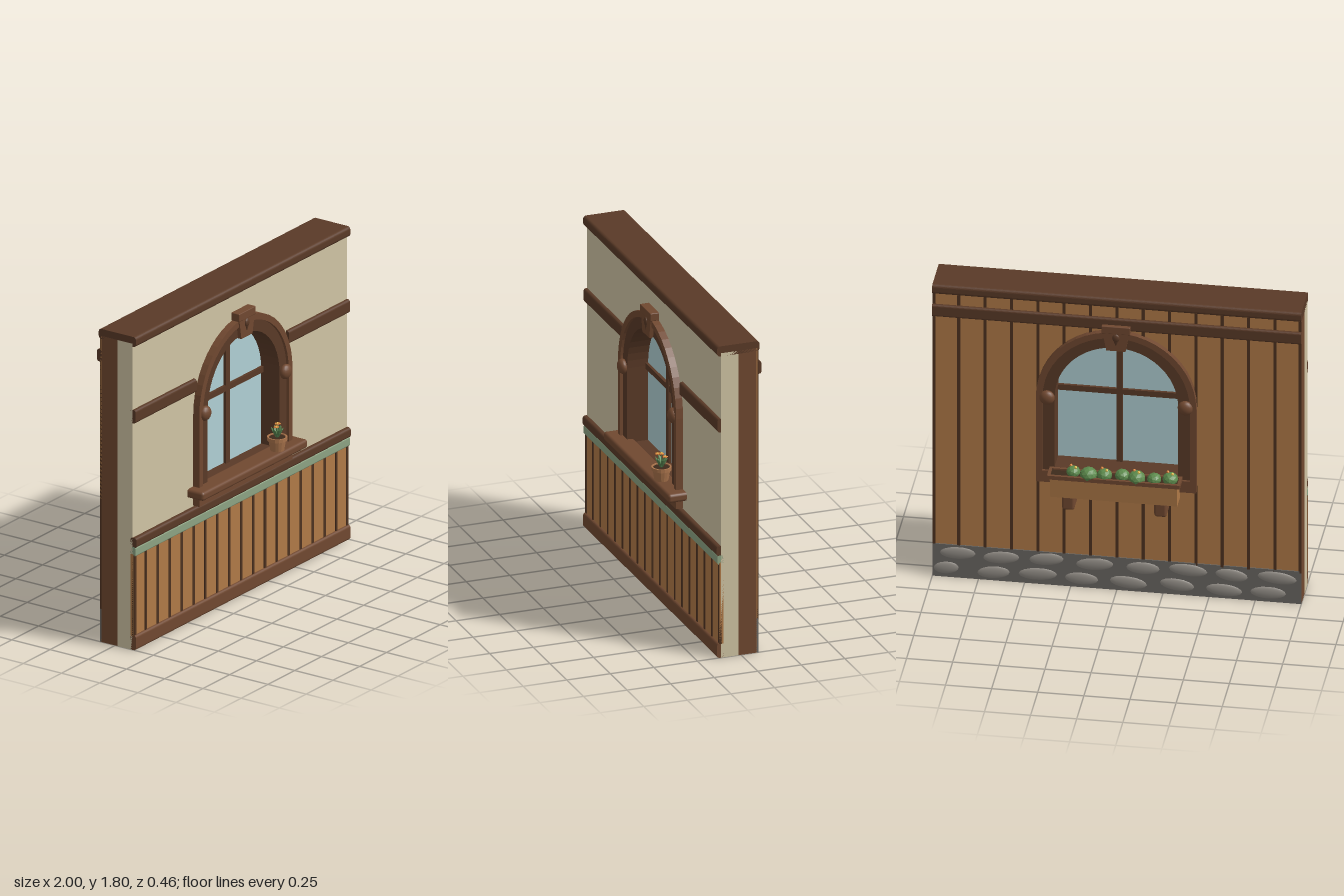
import * as THREE from 'three';
import { RoundedBoxGeometry } from 'three/addons/geometries/RoundedBoxGeometry.js';

const mat = (color, flatShading = false) => new THREE.MeshStandardMaterial({ color, flatShading });
const M = {
  plaster: mat(0xd0c4a4), dark: mat(0x5a3a27), mid: mat(0x704830), board: mat(0xb07a47),
  groove: mat(0x4d3220), green: mat(0x8ca383), glass: mat(0xb0d0d4), mortar: mat(0x6a6662),
  stone: mat(0x928d86), pot: mat(0xa9734b), soil: mat(0x3d2a1c), leaf: mat(0x56824f, true),
  bush: mat(0x5c8a4c, true), orange: mat(0xe08a3c, true), yellow: mat(0xe8c04a, true),
};
const SPRING = 1.17; // height at which the window arch begins

export function createModel() {
  const root = new THREE.Group();

  const add = (name, geo, material, x = 0, y = 0, z = 0, parent = root) => {
    const m = new THREE.Mesh(geo, material);
    m.name = name;
    m.position.set(x, y, z);
    parent.add(m);
    return m;
  };
  // Box and rounded box given by their limits
  const box = (name, material, x0, x1, y0, y1, z0, z1, r = 0) => {
    const s = [x1 - x0, y1 - y0, z1 - z0];
    const g = r ? new RoundedBoxGeometry(...s, 2, r) : new THREE.BoxGeometry(...s);
    return add(name, g, material, (x0 + x1) / 2, (y0 + y1) / 2, (z0 + z1) / 2);
  };
  // Horizontal beam with rounded long edges and square ends
  const beam = (name, material, x0, x1, y0, y1, z0, z1, r = 0.015) => {
    const w = (z1 - z0) / 2, h = (y1 - y0) / 2, s = new THREE.Shape();
    s.absarc(w - r, h - r, r, 0, Math.PI / 2);
    s.absarc(-w + r, h - r, r, Math.PI / 2, Math.PI);
    s.absarc(-w + r, -h + r, r, Math.PI, Math.PI * 1.5);
    s.absarc(w - r, -h + r, r, Math.PI * 1.5, Math.PI * 2);
    const g = new THREE.ExtrudeGeometry(s, { depth: x1 - x0, bevelEnabled: false, curveSegments: 4 });
    g.rotateY(Math.PI / 2);
    return add(name, g, material, x0, (y0 + y1) / 2, (z0 + z1) / 2);
  };
  // Round-headed outline
  const arch = (r, bottom, C = THREE.Shape) => {
    const s = new C();
    s.moveTo(-r, bottom);
    s.lineTo(r, bottom);
    s.lineTo(r, SPRING);
    s.absarc(0, SPRING, r, 0, Math.PI);
    s.lineTo(-r, bottom);
    return s;
  };
  const slab = (name, shape, material, z0, z1) =>
    add(name, new THREE.ExtrudeGeometry(shape, { depth: z1 - z0, bevelEnabled: false, curveSegments: 12 }), material, 0, 0, z0);
  const ring = (name, material, r0, r1, b0, b1, z0, z1) => {
    const s = arch(r1, b1);
    s.holes.push(arch(r0, b0, THREE.Path));
    return slab(name, s, material, z0, z1);
  };

  // Wall layers, each pierced by the window opening
  const wall = (name, material, z0, z1, top = 1.76) => {
    const s = new THREE.Shape([[-1, 0], [1, 0], [1, top], [-1, top]].map((p) => new THREE.Vector2(...p)));
    s.holes.push(arch(0.37, 0.7, THREE.Path));
    slab(name, s, material, z0, z1);
  };
  wall('plasterWall', M.plaster, 0.015, 0.115);
  wall('timberCore', M.mid, -0.088, 0.015);
  wall('backPlanks', M.board, -0.094, -0.088);
  beam('topBeam', M.dark, -1, 1, 1.742, 1.8, -0.107, 0.137, 0.018);

  // Front trim and wainscot
  beam('baseBoard', M.mid, -1, 1, 0, 0.085, 0.1, 0.137);
  box('wainscot', M.board, -1, 1, 0.08, 0.55, 0.1, 0.122);
  for (let i = 0; i <= 18; i++) {
    const x = THREE.MathUtils.clamp(-1 + i / 9, -0.991, 0.991);
    box('wainscotBatten', M.groove, x - 0.009, x + 0.009, 0.08, 0.545, 0.11, 0.126);
  }
  beam('greenBand', M.green, -1, 1, 0.538, 0.592, 0.1, 0.134, 0.01);
  beam('chairRail', M.dark, -1, 1, 0.588, 0.645, 0.1, 0.14);
  beam('rightRail', M.dark, -1, -0.43, 1.303, 1.38, 0.1, 0.135);
  beam('leftRail', M.dark, 0.43, 1, 1.303, 1.38, 0.1, 0.135);

  // Back battens, interrupted by the window
  for (let i = 0; i <= 14; i++) {
    const x = THREE.MathUtils.clamp(-1 + i / 7, -0.992, 0.992);
    const spans = Math.abs(x) < 0.434
      ? [[0.19, 0.68], [SPRING + Math.sqrt(0.42 ** 2 - Math.min(Math.abs(x), 0.42) ** 2), 1.745]]
      : [[0.19, 1.745]];
    for (const [y0, y1] of spans) box('backBatten', M.groove, x - 0.008, x + 0.008, y0, y1, -0.1, -0.09);
  }
  beam('backRail', M.dark, -1, 1, 1.61, 1.682, -0.117, -0.09, 0.012);

  // Stone footing on the back
  box('footing', M.mortar, -1, 1, 0, 0.2, -0.1, -0.088);
  for (let row = 0; row < 2; row++) {
    for (let i = 0; i < 8; i++) {
      const x = -0.88 + i * 0.25 + (row ? 0 : 0.06) + 0.012 * Math.sin(i * 5 + row * 2);
      const half = Math.min(0.1 + 0.012 * Math.sin(i * 3 + row), 0.995 - Math.abs(x));
      const stone = add('footingStone', new THREE.SphereGeometry(1, 14, 8), M.stone,
        x, (row ? 0.15 : 0.055) + 0.006 * Math.sin(i * 4), -0.098);
      stone.scale.set(half, 0.037, 0.013);
      stone.rotation.z = 0.1 * Math.sin(i * 7 + row);
    }
  }

  // Window: frame, lining, glass and glazing bars
  ring('frontFrame', M.mid, 0.4, 0.435, 0.72, 0.65, 0.1, 0.155);
  ring('backFrame', M.mid, 0.4, 0.435, 0.72, 0.65, -0.128, -0.085);
  ring('windowLining', M.dark, 0.335, 0.402, 0.74, 0.7, -0.115, 0.14);
  slab('glass', arch(0.34, 0.73), M.glass, 0.01, 0.02);
  box('verticalBar', M.dark, -0.017, 0.017, 0.735, 1.504, -0.008, 0.038);
  box('horizontalBar', M.dark, -0.337, 0.337, 1.155, 1.188, -0.006, 0.036);

  // Bosses and keystones on both faces
  for (const [side, zIn, zOut] of [[1, 0.1, 0.158], [-1, -0.09, -0.13]]) {
    for (const x of [-0.375, 0.375]) {
      add('boss', new THREE.SphereGeometry(1, 16, 10), M.mid, x, SPRING, zOut - side * 0.006).scale.set(0.042, 0.042, 0.028);
    }
    const key = new THREE.Shape([[-0.052, 1.495], [0.052, 1.495], [0.072, 1.61], [-0.072, 1.61]].map((p) => new THREE.Vector2(...p)));
    const a = Math.min(zIn, zOut + side * 0.004), b = Math.max(zIn, zOut + side * 0.004);
    slab('keystone', key, M.mid, a, b);
    box('keystoneCap', M.mid, -0.078, 0.078, 1.6, 1.645, Math.min(zIn, zOut + side * 0.008), Math.max(zIn, zOut + side * 0.008), 0.004);
    add('keystoneDrop', new THREE.SphereGeometry(1, 10, 8), M.dark, 0, 1.575, zOut + side * 0.004).scale.set(0.02, 0.024, 0.01);
    const tip = add('keystoneDropTip', new THREE.ConeGeometry(0.016, 0.04, 8), M.dark, 0, 1.545, zOut + side * 0.004);
    tip.rotation.x = Math.PI;
    tip.scale.z = 0.5;
  }

  // Front sill
  box('sill', M.mid, -0.49, 0.49, 0.71, 0.76, 0.1, 0.219, 0.016);
  box('sillApron', M.mid, -0.435, 0.435, 0.65, 0.715, 0.1, 0.15);

  // Flower pot on the sill
  const plant = new THREE.Group();
  plant.name = 'pottedFlower';
  plant.position.set(0.265, 0.76, 0.174);
  root.add(plant);
  const profile = [[0, 0], [0.038, 0], [0.048, 0.058], [0.055, 0.058], [0.055, 0.077], [0.046, 0.077], [0.045, 0.068], [0, 0.068]];
  add('pot', new THREE.LatheGeometry(profile.map((p) => new THREE.Vector2(...p)), 16), mat(0xa9734b, true), 0, 0, 0, plant);
  add('potSoil', new THREE.CylinderGeometry(0.045, 0.045, 0.006, 16), M.soil, 0, 0.069, 0, plant);
  for (let i = 0; i < 6; i++) {
    const a = i * Math.PI / 3, leaf = new THREE.Group();
    leaf.name = 'leaf';
    leaf.position.y = 0.068;
    leaf.rotation.set(0, a, -0.5, 'YXZ');
    plant.add(leaf);
    add('leafBlade', new THREE.SphereGeometry(1, 6, 4), M.leaf, 0, 0.035, 0, leaf).scale.set(0.005, 0.036, 0.013);
  }
  for (const [x, y, z] of [[0, 0.15, 0], [-0.025, 0.142, 0.012], [0.025, 0.14, -0.012]]) {
    const curve = new THREE.QuadraticBezierCurve3(new THREE.Vector3(0, 0.065, 0), new THREE.Vector3(x * 0.3, 0.11, z * 0.3), new THREE.Vector3(x, y, z));
    add('stem', new THREE.TubeGeometry(curve, 5, 0.003, 5), M.leaf, 0, 0, 0, plant);
    for (let k = 0; k < 5; k++) {
      const a = k * Math.PI * 0.4;
      add('petal', new THREE.SphereGeometry(1, 6, 4), M.orange, x + 0.009 * Math.cos(a), y, z + 0.009 * Math.sin(a), plant).scale.set(0.007, 0.004, 0.007);
    }
    add('flowerHeart', new THREE.IcosahedronGeometry(0.006, 0), M.yellow, x, y + 0.003, z, plant);
  }

  // Planter box on brackets behind the window
  const trough = new THREE.Shape([[0.11, 0.61], [0.213, 0.61], [0.22, 0.73], [0.11, 0.73]].map((p) => new THREE.Vector2(...p)));
  const troughGeo = new THREE.ExtrudeGeometry(trough, { depth: 0.69, bevelEnabled: false });
  troughGeo.rotateY(Math.PI / 2);
  add('planterBox', troughGeo, M.board, -0.345);
  box('planterRimBack', M.mid, -0.36, 0.36, 0.722, 0.745, -0.224, -0.208);
  box('planterRimFront', M.mid, -0.36, 0.36, 0.722, 0.745, -0.14, -0.124);
  for (const s of [-1, 1]) {
    box('planterRimEnd', M.mid, s * 0.352 - 0.008, s * 0.352 + 0.008, 0.722, 0.745, -0.21, -0.138);
    box('planterBracket', M.mid, s * 0.25 - 0.034, s * 0.25 + 0.034, 0.525, 0.612, -0.198, -0.09, 0.014);
  }
  box('planterSoil', M.soil, -0.345, 0.345, 0.725, 0.736, -0.21, -0.138);
  [-0.3, -0.215, -0.12, -0.04, 0.055, 0.14, 0.225].forEach((x, i) => {
    const r = 0.043 + 0.005 * Math.sin(i * 4), z = -0.175 + 0.01 * Math.cos(i * 2);
    const bush = add('bush', new THREE.IcosahedronGeometry(r, 1), M.bush, x, 0.75, z);
    bush.rotation.y = i;
    bush.scale.y = 0.85;
    if (i % 2 === 0) {
      for (const d of [-1, 1]) {
        add('blossom', new THREE.IcosahedronGeometry(0.009, 0), d > 0 ? M.orange : M.yellow, x + d * 0.014, 0.75 + r * 0.83, z + d * 0.01);
      }
    }
  });

  return root;
}
